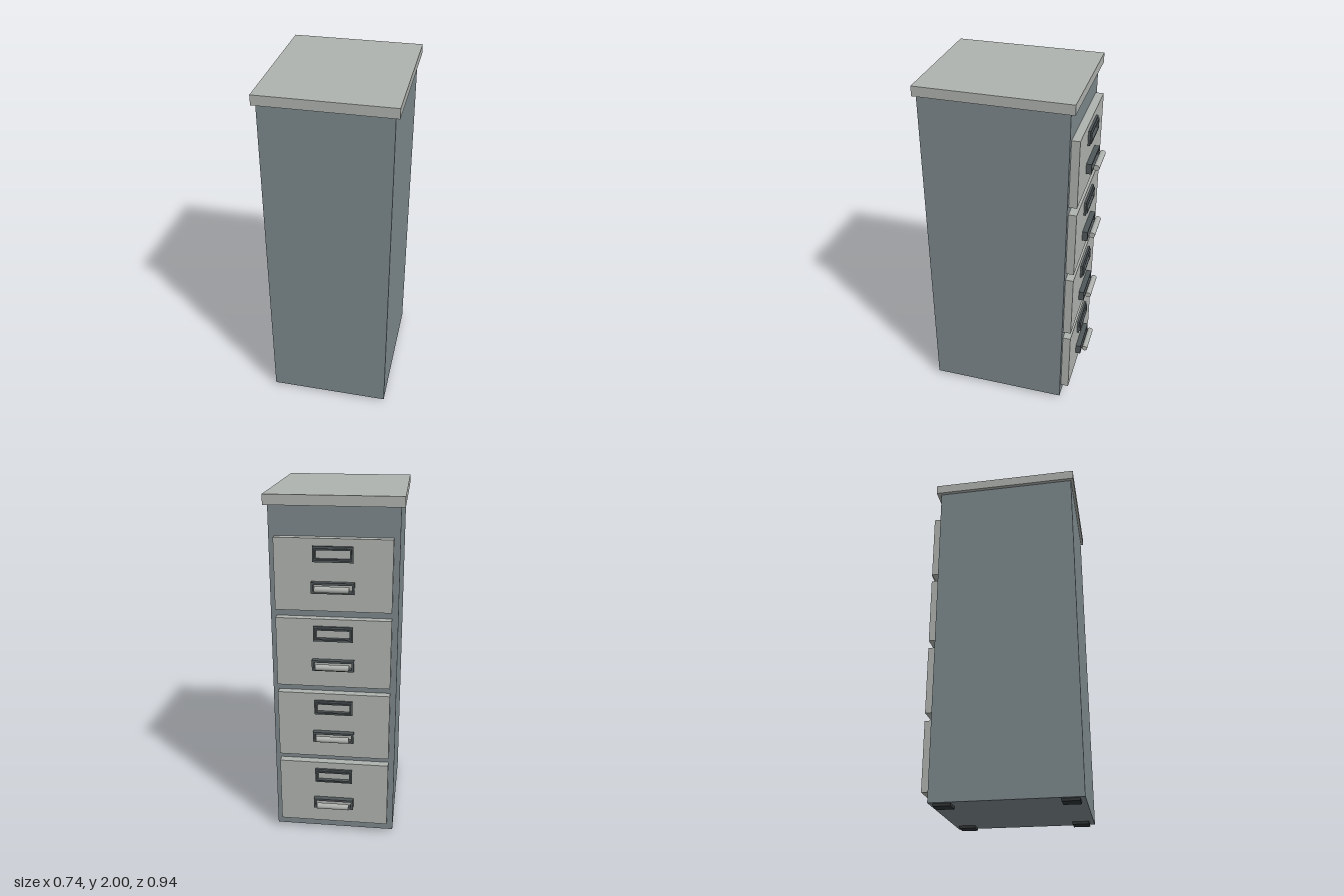
import * as THREE from 'three';

const mat = (name, color) => {
  const m = new THREE.MeshStandardMaterial({ color });
  m.name = name;
  return m;
};

export function createModel() {
  const steel = mat('blue grey steel', 0x7c878b);
  const pale = mat('pale grey', 0xaeb2ae);
  const dark = mat('dark metal', 0x50575a);
  const rubber = mat('black rubber', 0x303436);
  const root = new THREE.Group();
  root.name = 'filingCabinet';

  const add = (parent, name, geo, material, x, y, z) => {
    const m = new THREE.Mesh(geo, material);
    m.name = name;
    m.position.set(x, y, z);
    parent.add(m);
  };
  // Rectangular ring, extruded along +z from z = 0
  const rect = (path, a, b) =>
    path.moveTo(-a, -b).lineTo(a, -b).lineTo(a, b).lineTo(-a, b).closePath();
  const ring = (w, h, border, depth) => {
    const shape = rect(new THREE.Shape(), w / 2, h / 2);
    shape.holes.push(rect(new THREE.Path(), w / 2 - border, h / 2 - border));
    return new THREE.ExtrudeGeometry(shape, { depth, bevelEnabled: false });
  };

  // Carcass and overhanging top
  add(root, 'body', new THREE.BoxGeometry(0.694, 1.93, 0.807), steel, 0, 0.98, 0.049);
  add(root, 'top', new THREE.BoxGeometry(0.736, 0.055, 0.848), pale, 0, 1.9725, 0.044);

  // Feet
  const footGeo = new THREE.BoxGeometry(0.084, 0.016, 0.094);
  for (const x of [-0.287, 0.287])
    for (const z of [-0.283, 0.379]) add(root, 'foot', footGeo, rubber, x, 0.008, z);

  // Drawers, on the -z side
  const frontGeo = new THREE.BoxGeometry(0.628, 0.392, 0.046);
  const labelGeo = ring(0.215, 0.084, 0.016, 0.012);
  const lipGeo = ring(0.199, 0.062, 0.008, 0.02);
  const pullGeo = ring(0.23, 0.06, 0.012, 0.03);
  const barGeo = new THREE.CylinderGeometry(0.017, 0.017, 0.184, 16).rotateZ(Math.PI / 2);
  for (let i = 0; i < 4; i++) {
    const drawer = new THREE.Group();
    drawer.name = 'drawer' + (i + 1);
    drawer.position.y = 0.275 + i * 0.4375;
    root.add(drawer);
    add(drawer, 'drawerFront', frontGeo, pale, 0, 0, -0.377);
    add(drawer, 'labelFrame', labelGeo, dark, 0, 0.114, -0.412);
    add(drawer, 'labelLip', lipGeo, dark, 0, 0.114, -0.42);
    add(drawer, 'handleFrame', pullGeo, dark, 0, -0.063, -0.43);
    add(drawer, 'handleBar', barGeo, pale, 0, -0.063, -0.452);
  }
  return root;
}
